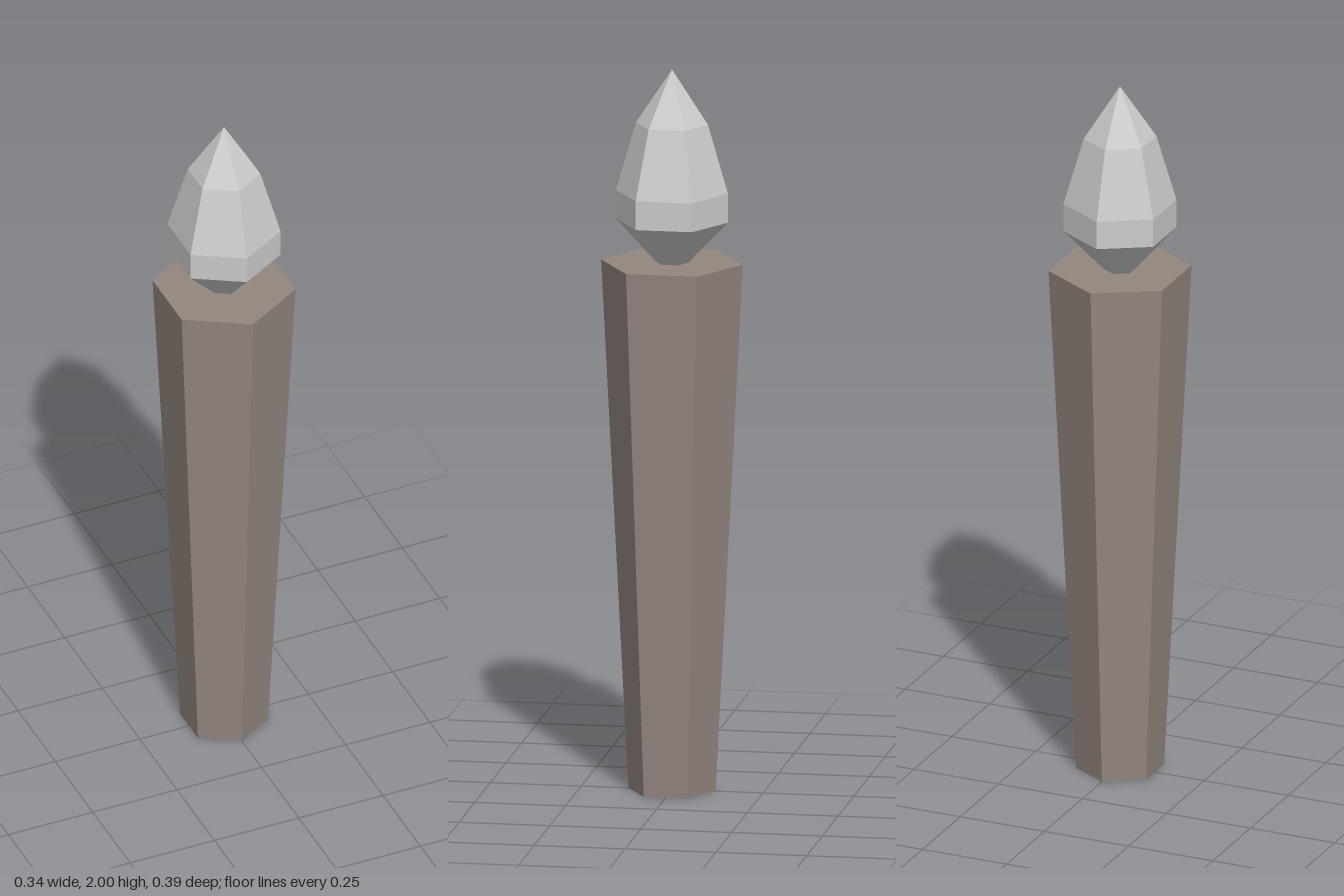
import * as THREE from 'three';

const SIDES = 6;

export function createModel() {
  const group = new THREE.Group();
  group.name = 'torch';

  // Tapered hexagonal handle, corners on the z axis
  const handleHeight = 1.465;
  const handle = new THREE.Mesh(
    new THREE.CylinderGeometry(0.195, 0.12, handleHeight, SIDES),
    new THREE.MeshStandardMaterial({ color: 0x93867f, flatShading: true })
  );
  handle.name = 'handle';
  handle.position.y = handleHeight / 2;
  group.add(handle);

  // Faceted flame: [radius, height] from the narrow base to the tip
  const profile = [
    [0, handleHeight],
    [0.045, handleHeight],
    [0.154, 1.58],
    [0.154, 1.66],
    [0.099, 1.85],
    [0, 2],
  ].map(([r, y]) => new THREE.Vector2(r, y));
  const flame = new THREE.Mesh(
    new THREE.LatheGeometry(profile, SIDES),
    new THREE.MeshStandardMaterial({ color: 0xcccccc, flatShading: true })
  );
  flame.name = 'flame';
  group.add(flame);

  return group;
}
